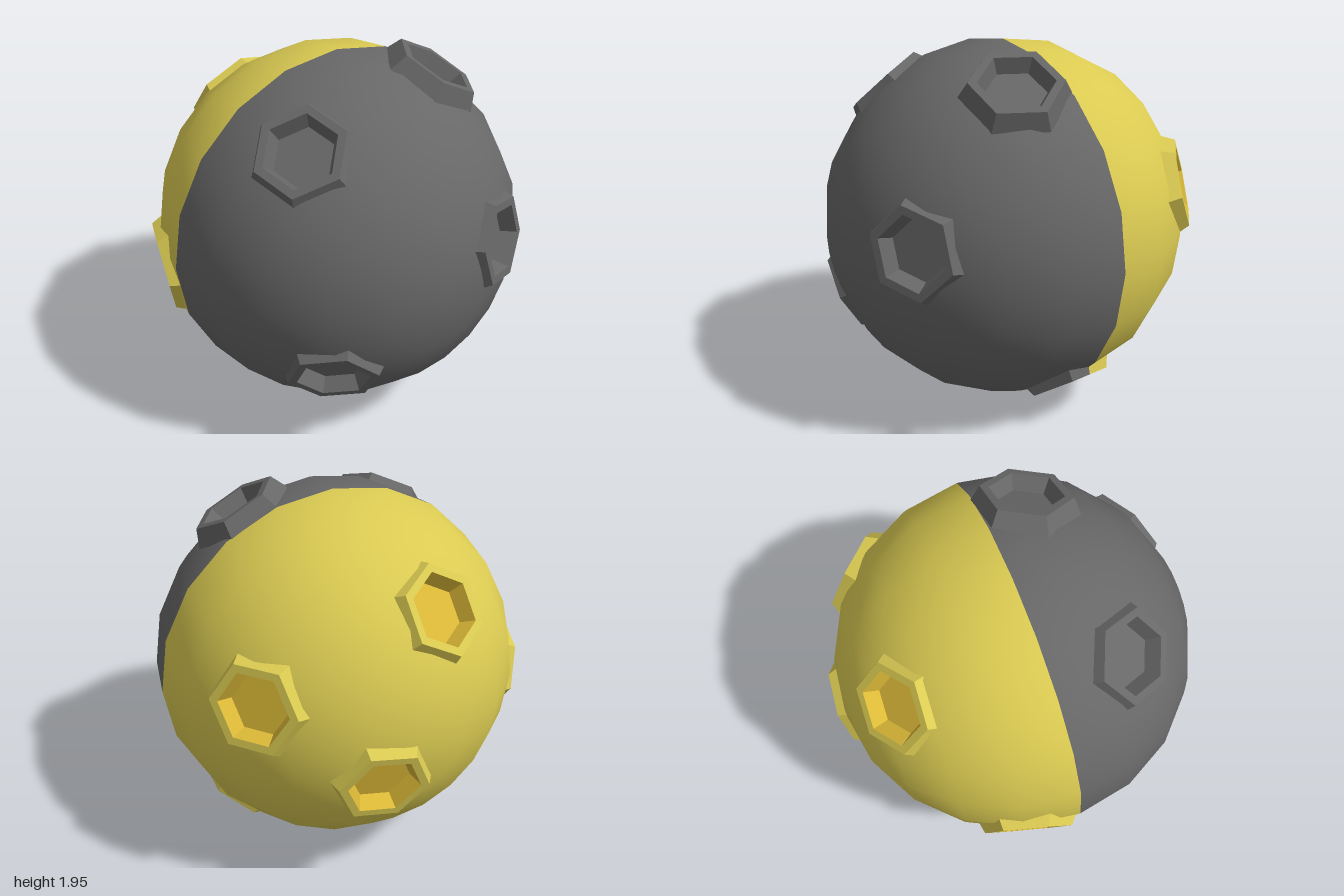
import * as THREE from 'three';

const CENTER = new THREE.Vector3(0.01, 0.985, 0.02);
const RADIUS = 0.975;
const APOTHEM = Math.cos(Math.PI / 6);

const flat = (name, color) => {
  const m = new THREE.MeshStandardMaterial({ color });
  m.name = name;
  return m;
};

// Each crater: outward axis, direction of one hexagon corner, height of its rim
const CRATERS = [
  { name: 'frontCrater', axis: [0.44, 0.145, 0.87], corner: [-0.33, 1, 0], rim: 0.98 },
  { name: 'lowerFrontCrater', axis: [-0.49, -0.43, 0.72], corner: [0, 1, 0.6], rim: 0.975 },
  { name: 'upperFrontCrater', axis: [-0.49, 0.725, 0.44], corner: [0.36, 0.15, 0.15], rim: 0.98 },
  { name: 'topCrater', axis: [0.44, 0.86, 0.25], corner: [1, -0.49, -0.07], rim: 1.015 },
  { name: 'seamCrater', axis: [0.59, -0.785, 0], corner: [0, 0, 1], rim: 0.98, split: true },
  { name: 'sideBackCrater', axis: [0.7, 0.245, -0.67], corner: [-0.96, 0, -1], rim: 0.99 },
  { name: 'backCrater', axis: [0.14, -0.18, -0.95], corner: [0.41, 0.906, -0.23], rim: 0.99 },
  { name: 'upperBackCrater', axis: [-0.26, 0.59, -0.72], corner: [-0.74, 0.22, 0.64], rim: 0.98 },
  { name: 'sideCrater', axis: [-0.93, -0.147, -0.273], corner: [0.1, 0.906, 0.44], rim: 0.98 },
].map((c) => {
  const y = new THREE.Vector3(...c.axis).normalize();
  const z = new THREE.Vector3(...c.corner);
  z.addScaledVector(y, -z.dot(y)).normalize();
  const x = new THREE.Vector3().crossVectors(y, z);
  return { ...c, x, y, z };
});

// True where a crater opens the shell (boundary hidden below its rim)
function insideCrater(p) {
  return CRATERS.some((c) => {
    if (p.dot(c.y) < 0) return false;
    const a = p.dot(c.x), b = p.dot(c.z);
    const reach = [30, 90, 150].map((deg) => {
      const t = THREE.MathUtils.degToRad(deg);
      return Math.abs(a * Math.sin(t) + b * Math.cos(t));
    });
    return Math.max(...reach) < 0.184;
  });
}

// Half of a 20-sided ball with its pole on z; facets are subdivided so craters can be cut
function halfShell(firstRing) {
  const N = 11, step = Math.PI / 10;
  const positions = [], normals = [];
  const point = (ring, seg) => new THREE.Vector3().setFromSphericalCoords(1, ring * step, 0).set(
    RADIUS * Math.sin(ring * step) * Math.cos(seg * step),
    RADIUS * Math.sin(ring * step) * Math.sin(seg * step),
    RADIUS * Math.cos(ring * step));
  const addTriangle = (a, b, c) => {
    const mid = a.clone().add(b).add(c).divideScalar(3);
    if (insideCrater(mid)) return;
    for (const v of [a, b, c]) {
      positions.push(v.x, v.y, v.z);
      const n = v.clone().normalize();
      normals.push(n.x, n.y, n.z);
    }
  };
  for (let ring = firstRing; ring < firstRing + 5; ring++) {
    for (let seg = 0; seg < 20; seg++) {
      const a = point(ring, seg), b = point(ring + 1, seg);
      const c = point(ring + 1, seg + 1), d = point(ring, seg + 1);
      const at = (u, v) => a.clone().lerp(b, u / N).lerp(d.clone().lerp(c, u / N), v / N);
      for (let u = 0; u < N; u++) {
        for (let v = 0; v < N; v++) {
          addTriangle(at(u, v), at(u + 1, v), at(u + 1, v + 1));
          addTriangle(at(u, v), at(u + 1, v + 1), at(u, v + 1));
        }
      }
    }
  }
  const g = new THREE.BufferGeometry();
  g.setAttribute('position', new THREE.Float32BufferAttribute(positions, 3));
  g.setAttribute('normal', new THREE.Float32BufferAttribute(normals, 3));
  return g;
}

// Lathe pulled into a hexagon with corners at multiples of 60 degrees
function hexLathe(profile, start, length) {
  const points = profile.map(([r, h]) => new THREE.Vector2(r, h));
  const steps = Math.round(length / (Math.PI / 6));
  const g = new THREE.LatheGeometry(points, steps, start, length);
  const pos = g.attributes.position;
  for (let i = 0; i < pos.count; i++) {
    const index = Math.round((start + Math.floor(i / points.length) * length / steps) / (Math.PI / 6));
    if (index % 2 !== 0) {
      pos.setX(i, pos.getX(i) * APOTHEM);
      pos.setZ(i, pos.getZ(i) * APOTHEM);
    }
  }
  const faceted = g.toNonIndexed();
  faceted.computeVertexNormals();
  return faceted;
}

export function createModel() {
  const grey = flat('grey', 0x676767);
  const yellow = flat('yellow', 0xdaca52);
  const gold = flat('gold', 0xdcb937);

  const model = new THREE.Group();
  model.name = 'crateredBall';
  const ball = new THREE.Group();
  ball.name = 'ball';
  ball.position.copy(CENTER);
  model.add(ball);

  const add = (parent, name, geometry, material) => {
    const mesh = new THREE.Mesh(geometry, material);
    mesh.name = name;
    parent.add(mesh);
  };

  // Two-tone shell
  add(ball, 'frontShell', halfShell(0), grey);
  add(ball, 'backShell', halfShell(5), yellow);

  // Raised hexagonal craters
  const collar = [[0.28, -0.095], [0.235, 0], [0.19, 0]];
  const cup = [[0.19, 0], [0.155, -0.08], [0, -0.08]];
  for (const c of CRATERS) {
    const crater = new THREE.Group();
    crater.name = c.name;
    crater.quaternion.setFromRotationMatrix(new THREE.Matrix4().makeBasis(c.x, c.y, c.z));
    crater.position.copy(c.y).multiplyScalar(c.rim);
    ball.add(crater);

    const addPart = (isFront, start, length) => {
      add(crater, 'collar', hexLathe(collar, start, length), isFront ? grey : yellow);
      add(crater, 'cup', hexLathe(cup, start, length), isFront ? grey : gold);
    };
    if (c.split) {
      // The seam runs through this crater, so each half takes its own colour
      addPart(true, -Math.PI / 2, Math.PI);
      addPart(false, Math.PI / 2, Math.PI);
    } else {
      addPart(c.y.z > 0, 0, Math.PI * 2);
    }
  }
  return model;
}
